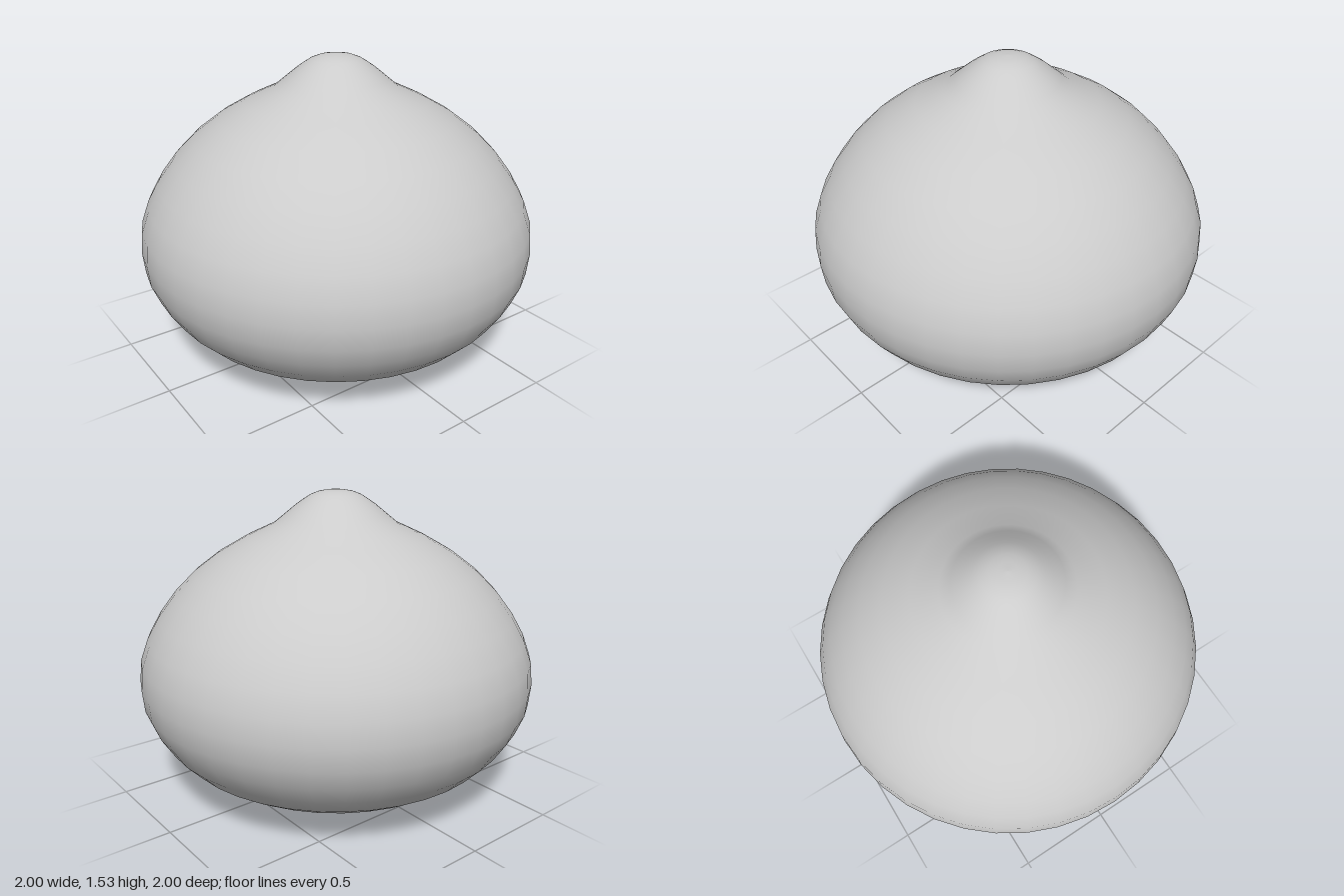
import * as THREE from 'three';

// Body outline from the middle of the base up to the tip: [radius, height]
const profile = [
  [0, 0], [0.16, 0.005], [0.31, 0.02], [0.45, 0.05], [0.59, 0.095],
  [0.71, 0.15], [0.81, 0.215], [0.89, 0.30], [0.95, 0.395], [0.99, 0.495],
  [1, 0.60], [0.99, 0.71], [0.95, 0.82], [0.89, 0.925], [0.81, 1.03],
  [0.71, 1.13], [0.59, 1.22], [0.45, 1.30], [0.31, 1.365], [0.255, 1.41],
  [0.2, 1.455], [0.16, 1.483], [0.125, 1.505], [0.085, 1.52], [0.045, 1.527], [0, 1.53],
];

export function createModel() {
  const group = new THREE.Group();
  group.name = 'dropletBody';

  // One smooth turned body: rounded base, wide belly and a small peaked tip
  const points = profile.map(([r, y]) => new THREE.Vector2(r, y));
  const body = new THREE.Mesh(
    new THREE.LatheGeometry(points, 40),
    new THREE.MeshStandardMaterial({ color: 0xcccccc }),
  );
  body.name = 'body';
  group.add(body);

  return group;
}
